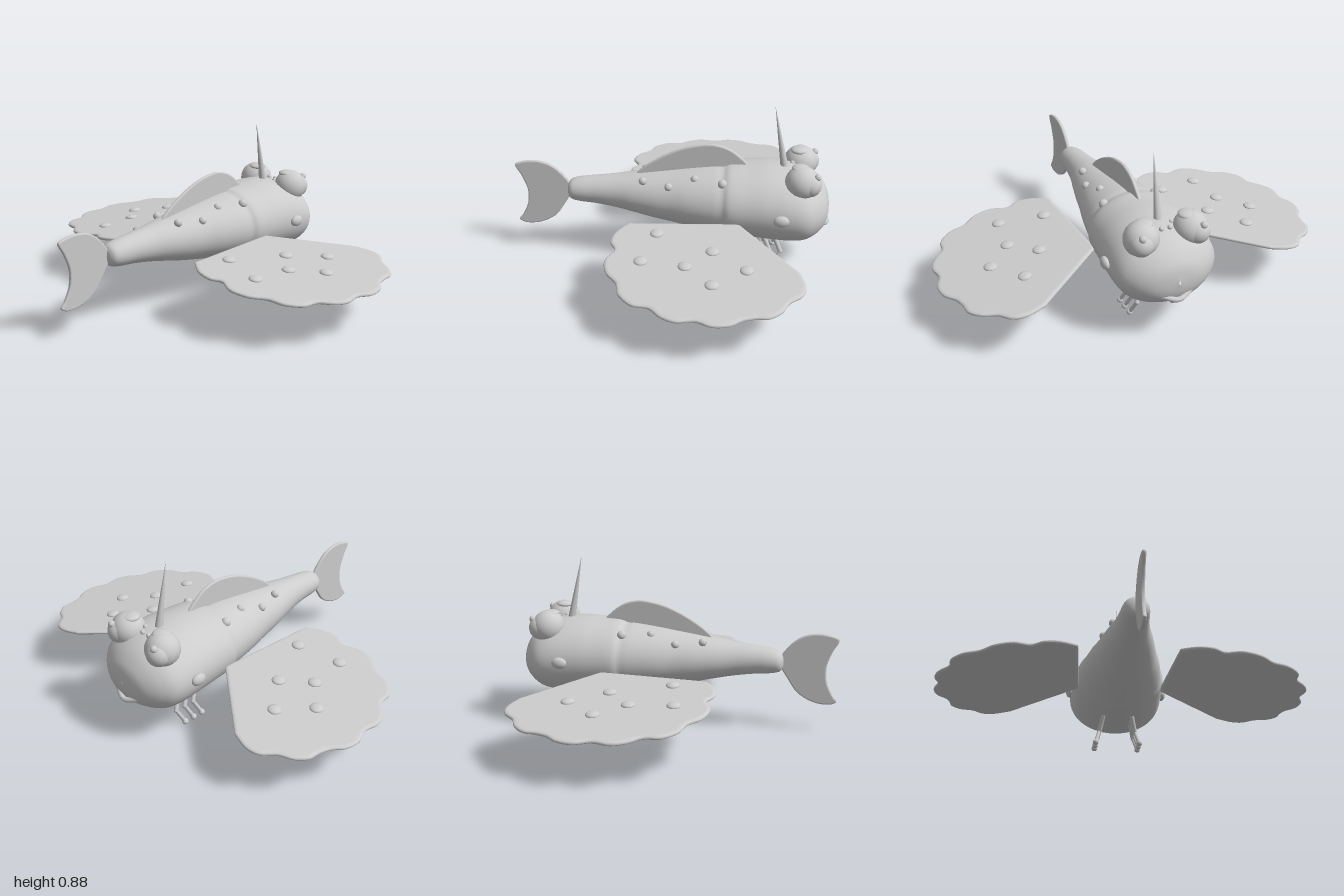
import * as THREE from 'three';
import { ParametricGeometry } from 'three/addons/geometries/ParametricGeometry.js';

const clay = new THREE.MeshStandardMaterial({ color: 0xcccccc });
clay.name = 'light grey';
const V = (x, y, z) => new THREE.Vector3(x, y, z);

export function createModel() {
  const model = new THREE.Group();

  function add(name, geometry) {
    const mesh = new THREE.Mesh(geometry, clay);
    mesh.name = name;
    model.add(mesh);
    return mesh;
  }
  function ball(name, pos, rx, ry = rx, rz = rx) {
    const mesh = add(name, new THREE.SphereGeometry(1, 24, 14));
    mesh.scale.set(rx, ry, rz);
    mesh.position.copy(pos);
    return mesh;
  }
  // Straight rod between two points
  function rod(name, a, b, r) {
    const d = b.clone().sub(a);
    const mesh = add(name, new THREE.CylinderGeometry(r, r, d.length(), 12));
    mesh.position.copy(a).add(b).multiplyScalar(0.5);
    mesh.quaternion.setFromUnitVectors(V(0, 1, 0), d.normalize());
  }
  const vec2 = (pts) => pts.map(([x, y]) => new THREE.Vector2(x, y));

  // Body: oval sections from nose to tail [z, top, bottom, half width]
  const sections = [
    [-0.825, 0.34, 0.32, 0.004], [-0.815, 0.40, 0.265, 0.09], [-0.795, 0.44, 0.225, 0.15],
    [-0.755, 0.485, 0.19, 0.208], [-0.7, 0.52, 0.162, 0.25], [-0.62, 0.545, 0.152, 0.261],
    [-0.5, 0.555, 0.157, 0.255], [-0.4, 0.55, 0.163, 0.246], [-0.31, 0.545, 0.17, 0.238],
    [-0.27, 0.532, 0.18, 0.222], [-0.22, 0.53, 0.185, 0.214], [-0.1, 0.515, 0.2, 0.19],
    [0, 0.5, 0.215, 0.163], [0.1, 0.485, 0.233, 0.142], [0.2, 0.47, 0.255, 0.118],
    [0.3, 0.455, 0.275, 0.092], [0.4, 0.443, 0.29, 0.077], [0.48, 0.433, 0.297, 0.07],
    [0.53, 0.42, 0.307, 0.06], [0.55, 0.4, 0.325, 0.038], [0.558, 0.365, 0.359, 0.003],
  ];
  const spline = (f) => new THREE.CatmullRomCurve3(sections.map(f), false, 'catmullrom', 0.5);
  const heights = spline(([z, t, b]) => V(z, (t + b) / 2, (t - b) / 2));
  const widths = spline(([z, , , w]) => V(z, w, 0));
  add('body', new ParametricGeometry((u, v, out) => {
    const h = heights.getPoint(v), w = widths.getPoint(v), a = u * Math.PI * 2;
    out.set(Math.cos(a) * w.y, h.y + Math.sin(a) * h.z, h.x);
  }, 48, 80));

  // Upright fins, outlined in (z, y)
  function fin(name, start, pts) {
    const shape = new THREE.Shape();
    shape.moveTo(...start);
    shape.splineThru(vec2(pts));
    shape.closePath();
    const geo = new THREE.ExtrudeGeometry(shape, {
      depth: 0.006, bevelThickness: 0.007, bevelSize: 0.008, bevelOffset: -0.008, bevelSegments: 3, curveSegments: 5,
    });
    geo.translate(0, 0, -0.003).rotateY(-Math.PI / 2);
    add(name, geo);
  }
  fin('dorsalFin', [0.2, 0.44], [[0.18, 0.478], [0.12, 0.53], [0.03, 0.585], [-0.06, 0.625], [-0.14, 0.645],
    [-0.22, 0.65], [-0.31, 0.62], [-0.4, 0.54], [-0.4, 0.5]]);
  fin('tailFin', [0.53, 0.37], [[0.56, 0.42], [0.61, 0.475], [0.67, 0.51], [0.745, 0.52], [0.82, 0.505],
    [0.835, 0.485], [0.805, 0.43], [0.777, 0.35], [0.78, 0.27], [0.81, 0.2], [0.833, 0.165], [0.79, 0.145],
    [0.71, 0.155], [0.63, 0.2], [0.58, 0.27], [0.535, 0.34]]);

  // Horn leaning slightly back
  const horn = add('horn', new THREE.ConeGeometry(0.021, 0.35, 24));
  horn.position.set(0, 0.703, -0.552);
  horn.rotation.x = 0.185;

  // Smiling mouth
  const lip = [V(-0.08, 0.258, -0.79), V(0, 0.237, -0.82), V(0.08, 0.258, -0.79)];
  add('mouth', new THREE.TubeGeometry(new THREE.CatmullRomCurve3(lip), 20, 0.013, 10));
  for (const end of [lip[0], lip[2]]) ball('mouthCorner', end, 0.013);

  // Scalloped wing edge and spots in (x, z)
  const wingEdge = [[0.69, -0.685], [0.76, -0.67], [0.815, -0.61], [0.88, -0.575], [0.925, -0.52],
    [0.932, -0.46], [0.95, -0.4], [0.99, -0.34], [1.0, -0.26], [0.972, -0.185], [0.983, -0.1], [0.955, -0.03],
    [0.9, 0.03], [0.885, 0.11], [0.82, 0.175], [0.735, 0.2], [0.665, 0.255], [0.57, 0.275], [0.485, 0.24],
    [0.42, 0.268], [0.34, 0.255], [0.257, 0.2]];
  const wingSpots = [[0.61, -0.41], [0.73, -0.25], [0.475, -0.24], [0.6, -0.115], [0.345, 0.045], [0.575, 0.1]];
  const wingY = (x) => 0.305 - 0.103 * (Math.abs(x) - 0.25);

  function wing(s) {
    const shape = new THREE.Shape();
    shape.moveTo(s * 0.225, 0.36);
    shape.lineTo(s * 0.6, 0.66);
    shape.splineThru(vec2(wingEdge.map(([x, z]) => [s * x, -z])));
    shape.closePath();
    const geo = new THREE.ExtrudeGeometry(shape, {
      depth: 0.004, bevelThickness: 0.009, bevelSize: 0.018, bevelOffset: -0.018, bevelSegments: 4, curveSegments: 6,
    });
    geo.translate(0, 0, -0.002).rotateX(-Math.PI / 2);
    // Droop towards the tip
    const p = geo.attributes.position;
    for (let i = 0; i < p.count; i++) p.setY(i, p.getY(i) + wingY(p.getX(i)));
    geo.computeVertexNormals();
    add('wing', geo);
    for (const [x, z] of wingSpots) {
      const spot = ball('wingSpot', V(s * x, wingY(x) + 0.013, z), 0.034, 0.015, 0.034);
      spot.rotation.z = -s * 0.1;
    }
  }

  const backSpots = [[0.14, 0.493, -0.27], [0.095, 0.493, -0.125], [0.118, 0.453, 0.008], [0.08, 0.463, 0.145]];
  for (const s of [-1, 1]) {
    wing(s);
    // Eye with pupil, glint and raised lid
    ball('eye', V(s * 0.128, 0.515, -0.67), 0.087);
    ball('pupil', V(s * 0.145, 0.512, -0.707), 0.062);
    ball('eyeGlint', V(s * 0.157, 0.56, -0.745), 0.018);
    ball('eyelid', V(s * 0.112, 0.586, -0.66), 0.045, 0.018, 0.045);
    // Cheek and freckles
    ball('cheek', V(s * 0.265, 0.36, -0.572), 0.022, 0.03, 0.04);
    ball('freckle', V(s * 0.022, 0.538, -0.665), 0.012);
    ball('freckle', V(s * 0.05, 0.54, -0.625), 0.012);
    backSpots.forEach(([x, y, z], i) => ball('backSpot', V(s * x, y, z), i ? 0.021 : 0.024));
    // Three jointed legs
    for (let i = 0; i < 3; i++) {
      const z = -0.43 - i * 0.056;
      const hip = V(s * 0.075, 0.19, z + 0.003), knee = V(s * 0.1, 0.093, z - 0.04), foot = V(s * 0.12, 0.016, z);
      rod('upperLeg', hip, knee, 0.012);
      rod('lowerLeg', knee, foot, 0.01);
      ball('knee', knee, 0.012);
      ball('foot', foot, 0.016);
    }
  }

  return model;
}
